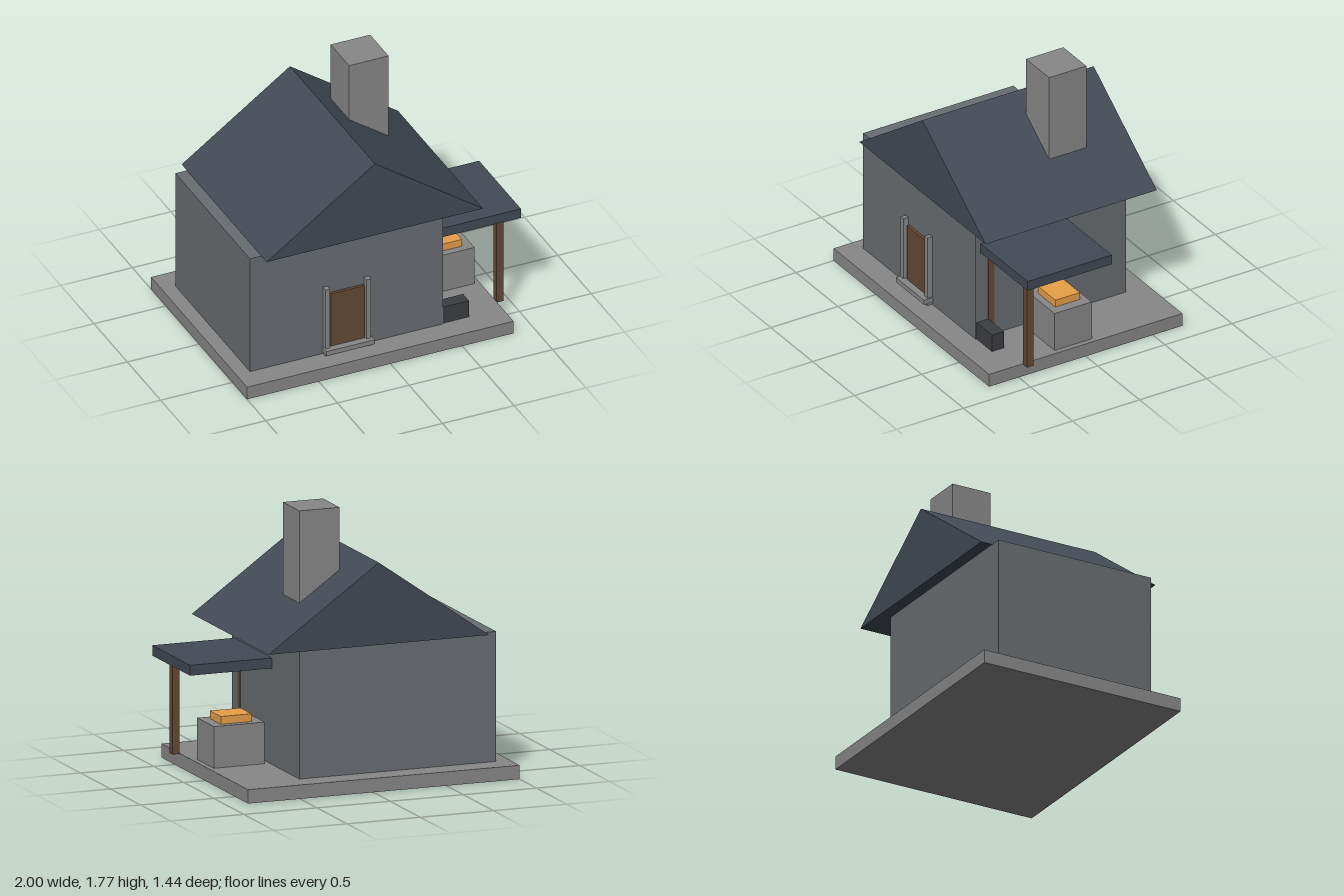
import * as THREE from 'three';

export function createModel() {
  const model = new THREE.Group();
  model.name = 'smithy';
  const mat = (color) => new THREE.MeshStandardMaterial({ color, flatShading: true });
  const stone = mat(0x888888), wall = mat(0x696e72), slate = mat(0x434a54);
  const wood = mat(0x654a35), iron = mat(0x3c3e42), ember = mat(0xe8a048);

  const add = (name, geometry, material) => {
    const mesh = new THREE.Mesh(geometry, material);
    mesh.name = name;
    model.add(mesh);
    return mesh;
  };
  // Box given by its extents along each axis
  const box = (name, material, [x0, x1], [y0, y1], [z0, z1]) =>
    add(name, new THREE.BoxGeometry(x1 - x0, y1 - y0, z1 - z0), material)
      .position.set((x0 + x1) / 2, (y0 + y1) / 2, (z0 + z1) / 2);

  // Foundation and house body
  box('foundation', stone, [-1, 0.857], [0, 0.09], [-0.72, 0.72]);
  box('houseWalls', wall, [-0.905, 0.44], [0.09, 0.932], [-0.56, 0.56]);

  // Gabled roof: triangular prism along z
  const gable = new THREE.Shape([
    new THREE.Vector2(-0.825, 0.932),
    new THREE.Vector2(0.683, 0.932),
    new THREE.Vector2(-0.071, 1.465),
  ]);
  const roof = new THREE.ExtrudeGeometry(gable, { depth: 1.276, bevelEnabled: false });
  add('roof', roof.translate(0, 0, -0.638), slate);
  box('chimney', stone, [0.068, 0.343], [1.0, 1.77], [-0.325, -0.048]);

  // Door with side posts and sill
  box('door', wood, [-0.35, -0.117], [0.09, 0.535], [0.54, 0.58]);
  for (const x of [-0.38, -0.094])
    box('doorPost', stone, [x - 0.016, x + 0.016], [0.09, 0.585], [0.55, 0.597]);
  box('doorSill', stone, [-0.405, -0.067], [0.112, 0.145], [0.55, 0.628]);

  // Lean-to canopy: one free post, one set into the house wall
  box('canopy', slate, [0.44, 1], [0.713, 0.78], [-0.105, 0.523]);
  for (const x of [0.418, 0.881])
    box('canopyPost', wood, [x - 0.024, x + 0.024], [0.085, 0.715], [0.42, 0.467]);

  // Forge with glowing coals, and the trough beside it
  box('forge', stone, [0.475, 0.822], [0.09, 0.36], [-0.067, 0.21]);
  box('coals', ember, [0.545, 0.755], [0.36, 0.41], [-0.02, 0.163]);
  box('trough', iron, [0.43, 0.624], [0.09, 0.21], [0.465, 0.553]);

  return model;
}
